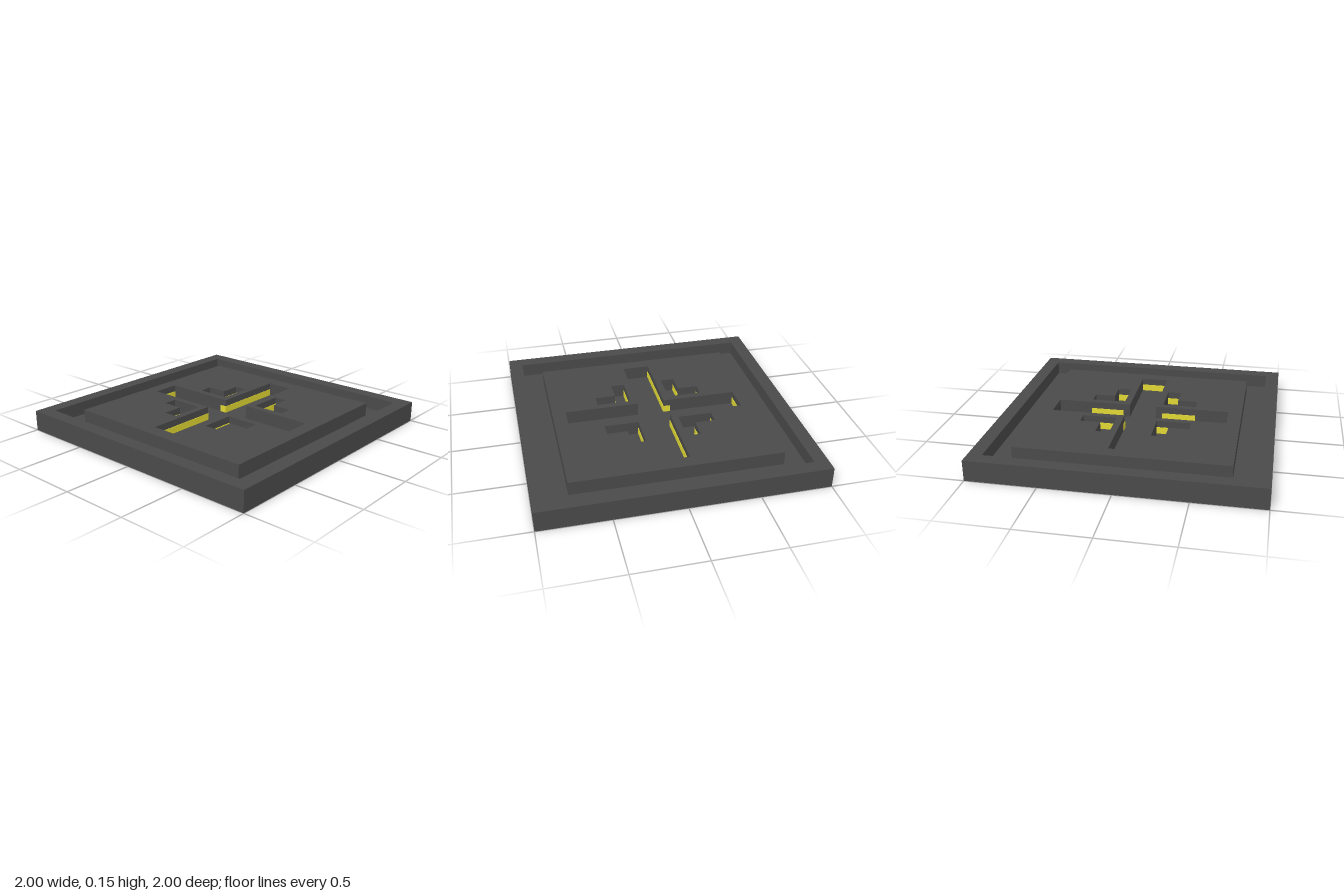
import * as THREE from 'three';

const FLOOR = 0.05, TOP = 0.15;

export function createModel() {
  const stone = new THREE.MeshStandardMaterial({ color: 0x4a4a4a });
  stone.name = 'darkStone';
  const glow = new THREE.MeshStandardMaterial({ color: 0xe0d834 });
  glow.name = 'yellowInlay';
  const model = new THREE.Group();
  model.name = 'floorTile';

  const add = (name, geometry, material, x = 0, y = 0, z = 0) => {
    const mesh = new THREE.Mesh(geometry, material);
    mesh.name = name;
    mesh.position.set(x, y, z);
    model.add(mesh);
    return mesh;
  };
  const points = (list) => list.map(([x, y]) => new THREE.Vector2(x, y));
  const square = (h) => points([[-h, -h], [h, -h], [h, h], [-h, h]]);

  // Upright slab with cut-outs, laid flat between the floor and the top
  const slab = (name, outline, holes) => {
    const shape = new THREE.Shape(outline);
    holes.forEach((hole) => shape.holes.push(new THREE.Path(hole)));
    const geometry = new THREE.ExtrudeGeometry(shape, { depth: TOP - FLOOR, bevelEnabled: false });
    geometry.rotateX(-Math.PI / 2);
    return add(name, geometry, stone, 0, FLOOR, 0);
  };

  // Base plate and raised rim
  add('basePlate', new THREE.BoxGeometry(2, FLOOR, 2), stone, 0, FLOOR / 2, 0);
  slab('outerRim', square(1), [square(0.9)]);

  // Centre block with a cross and four corner recesses
  const a = 0.1, b = 0.65;
  const cross = points([
    [-a, -b], [a, -b], [a, -a], [b, -a], [b, a], [a, a],
    [a, b], [-a, b], [-a, a], [-b, a], [-b, -a], [-a, -a],
  ]);
  const corner = [[0.15, 0.15], [0.4, 0.15], [0.4, 0.25], [0.25, 0.25], [0.25, 0.4], [0.15, 0.4]];
  const holes = [cross];
  for (const sx of [-1, 1]) for (const sz of [-1, 1]) {
    holes.push(points(corner.map(([x, z]) => [x * sx, z * sz])));
  }
  slab('centreBlock', square(0.75), holes);

  // Yellow inlays on the lower half of the recess walls; dir is the way the wall faces
  const T = 0.004;
  const inlay = (name, x0, x1, z, dir) => add(name, new THREE.BoxGeometry(Math.abs(x1 - x0), 0.05, T),
    glow, (x0 + x1) / 2, FLOOR + 0.025, z + dir * T / 2);

  for (const s of [-1, 1]) {
    inlay('crossBackInlay', s * 0.1, s * 0.65, -0.1, 1);
    inlay('crossFrontInlay', s * 0.15, s * 0.4, 0.1, -1);
    inlay('crossEndInlay', -0.1, 0.1, s * 0.65, -s);
    add('crossCornerInlay', new THREE.BoxGeometry(T, 0.05, 0.05), glow,
      s * (0.1 - T / 2), FLOOR + 0.025, -0.125);
    for (const d of [-1, 1]) {
      inlay('cornerInnerInlay', s * 0.15, s * 0.4, d * 0.15, d);
      inlay('cornerStepInlay', s * 0.25, s * 0.4, d * 0.25, -d);
      inlay('cornerEndInlay', s * 0.15, s * 0.25, d * 0.4, -d);
    }
  }
  return model;
}
